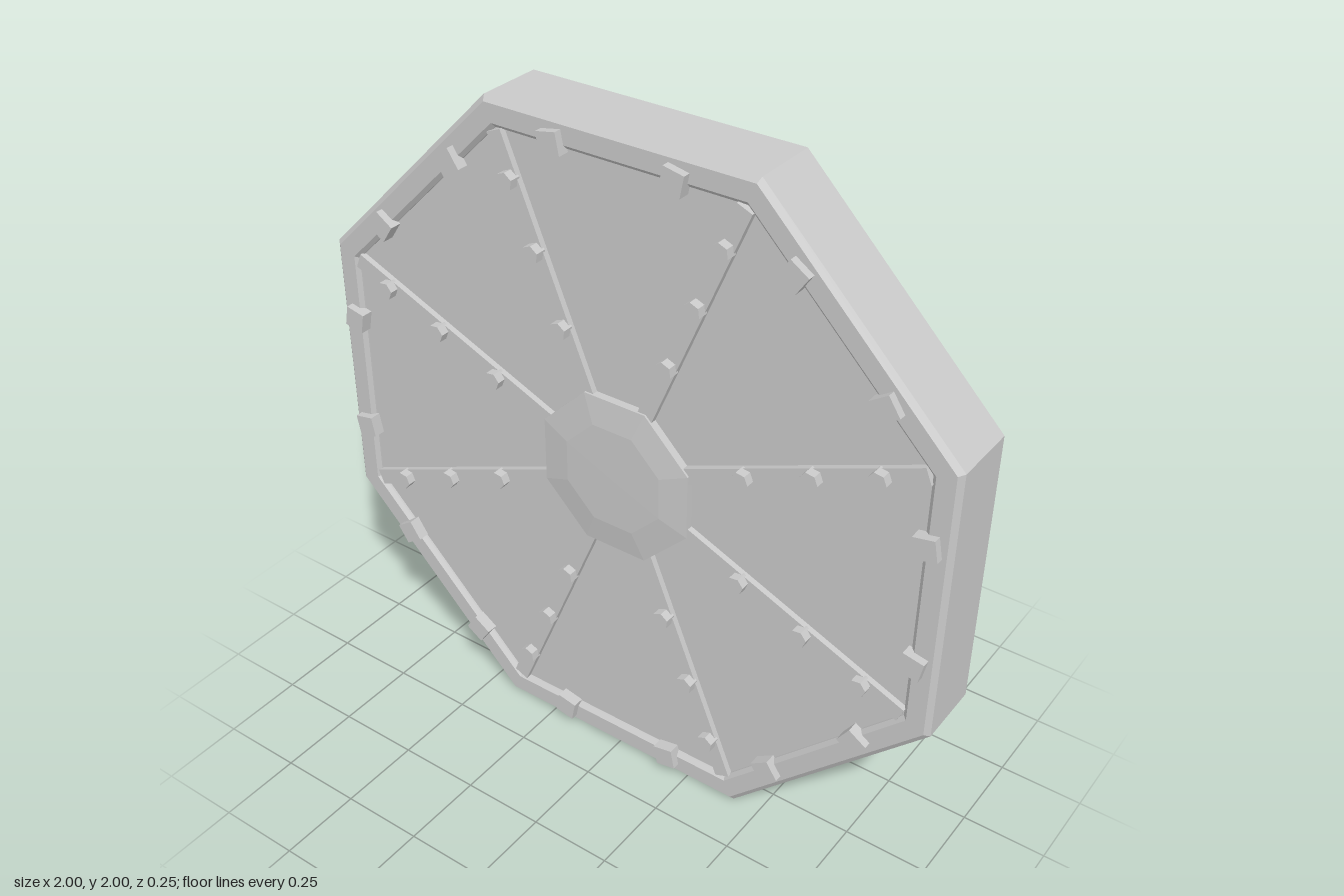
import * as THREE from 'three';

const SIDES = 8;
const STEP = Math.PI / 4;

// give every face its own normal
function flat(geometry) {
  const g = geometry.index ? geometry.toNonIndexed() : geometry;
  g.computeVertexNormals();
  return g;
}

// octagonal solid around z from [apothem, z] pairs, running back to front
function octagon(profile) {
  const k = 1 / Math.cos(Math.PI / SIDES);
  const points = profile.map(([a, z]) => new THREE.Vector2(a * k, z));
  const g = new THREE.LatheGeometry(points, SIDES, Math.PI / SIDES);
  g.rotateX(Math.PI / 2);
  return flat(g);
}

export function createModel() {
  const model = new THREE.Group();
  const grey = new THREE.MeshStandardMaterial({ color: 0xc9c9c9 });
  grey.name = 'stone grey';

  function add(name, geometry, parent = model) {
    const mesh = new THREE.Mesh(geometry, grey);
    mesh.name = name;
    parent.add(mesh);
    return mesh;
  }

  // frame with bevelled edges and a shallow recessed panel on both faces
  add('frameAndPanels', octagon([
    [0, -0.115], [0.918, -0.115], [0.933, -0.127],
    [0.985, -0.127], [1, -0.114], [1, 0.084], [0.985, 0.097],
    [0.932, 0.097], [0.92, 0.086], [0.92, 0.08], [0, 0.08],
  ]));

  // low hub with sloping rim and flat middle
  add('hub', octagon([[0.24, 0.075], [0.24, 0.104], [0.155, 0.115], [0, 0.117]]));

  // spokes towards the corners, each with three studs
  const spokeGeo = flat(new THREE.BoxGeometry(0.75, 0.048, 0.022));
  const studGeo = flat(new THREE.CylinderGeometry(0.027, 0.027, 0.035, 6).rotateX(Math.PI / 2));
  for (let i = 0; i < SIDES; i++) {
    const arm = new THREE.Group();
    arm.name = 'spokeWithStuds';
    arm.rotation.z = (i + 0.5) * STEP;
    add('spoke', spokeGeo, arm).position.set(0.615, 0, 0.087);
    for (const r of [0.444, 0.661, 0.861]) {
      add('spokeStud', studGeo, arm).position.set(r, 0, 0.1075);
    }
    model.add(arm);
  }

  // square blocks on the rim, two per side
  const blockGeo = flat(new THREE.BoxGeometry(0.063, 0.063, 0.036));
  for (let i = 0; i < 16; i++) {
    const angle = (i + 0.5) * Math.PI / 8;
    const block = add('rimBlock', blockGeo);
    block.position.set(0.954 * Math.cos(angle), 0.954 * Math.sin(angle), 0.102);
    block.rotation.z = angle;
  }

  model.children.forEach((part) => { part.position.y += 1; });
  return model;
}
